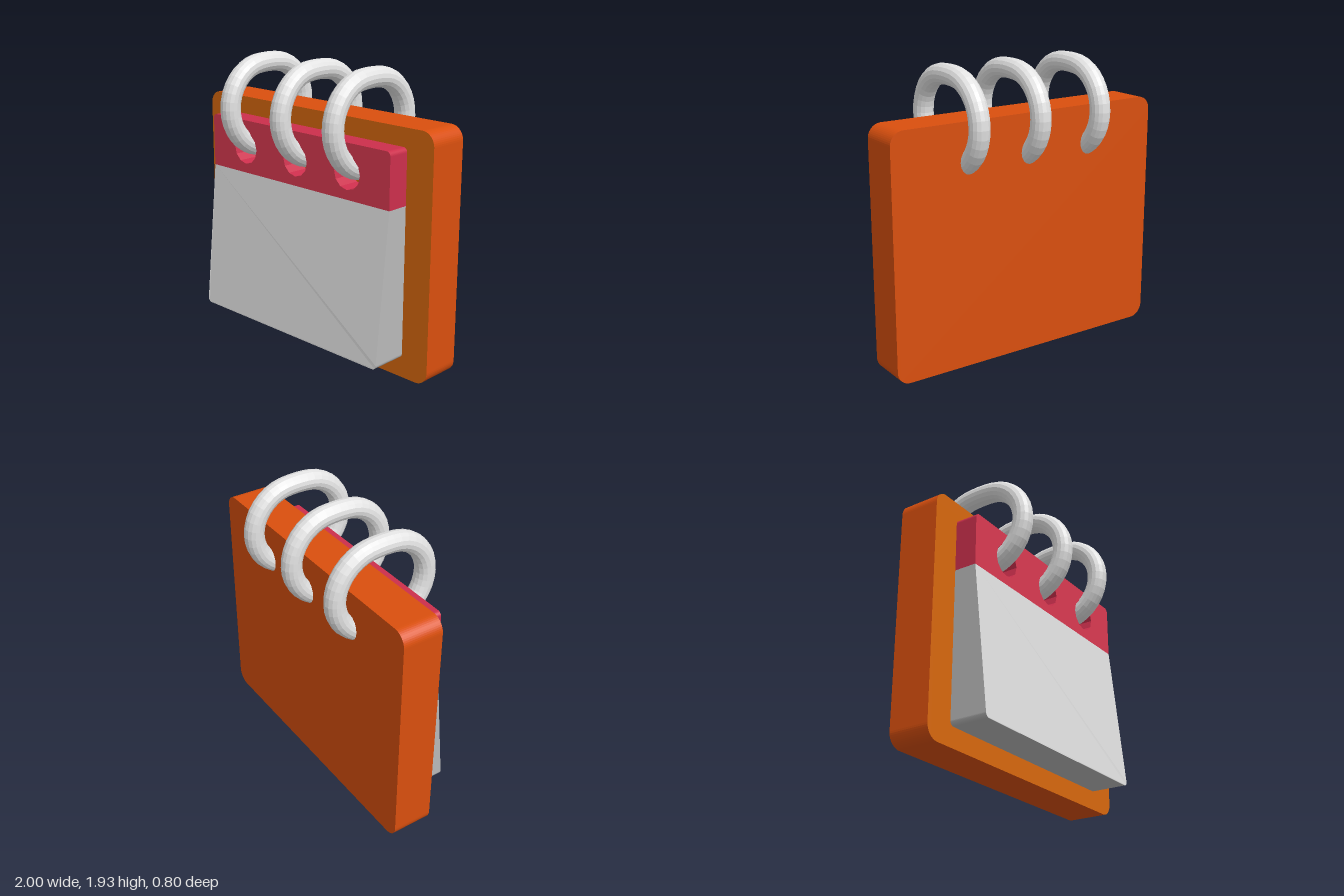
import * as THREE from 'three';

const mat = (name, color) => {
  const m = new THREE.MeshStandardMaterial({ color });
  m.name = name;
  return m;
};

// Rectangle with separate radii for the top and bottom corners
function roundedRect(x, y0, y1, rTop, rBottom) {
  const s = new THREE.Shape();
  const corner = (cx, cy, r, a) => {
    if (r > 0) s.absarc(cx, cy, r, a, a + Math.PI / 2, false);
    else s.lineTo(cx, cy);
  };
  s.moveTo(x - rBottom, y0);
  corner(x - rBottom, y0 + rBottom, rBottom, -Math.PI / 2);
  corner(x - rTop, y1 - rTop, rTop, 0);
  corner(-x + rTop, y1 - rTop, rTop, Math.PI / 2);
  corner(-x + rBottom, y0 + rBottom, rBottom, Math.PI);
  s.closePath();
  return s;
}

// Extruded slab whose front face has its own colour
function slab(name, shape, z0, z1, front, side, frontZ) {
  const g = new THREE.ExtrudeGeometry(shape, { depth: z1 - z0, bevelEnabled: false, curveSegments: 6 });
  g.translate(0, 0, z0);
  if (frontZ) {
    const p = g.attributes.position;
    for (let i = 0; i < p.count; i++) {
      if (p.getZ(i) > z1 - 1e-4) p.setZ(i, frontZ(p.getY(i)));
    }
    g.computeVertexNormals();
  }
  // The lids come first: back half, then front half
  const [lids, walls] = g.groups;
  const half = lids.count / 2;
  g.clearGroups();
  g.addGroup(0, half, 1);
  g.addGroup(half, half, 0);
  g.addGroup(walls.start, walls.count, 1);
  const mesh = new THREE.Mesh(g, [front, side]);
  mesh.name = name;
  return mesh;
}

export function createModel() {
  const model = new THREE.Group();
  model.name = 'ringCalendar';
  const boardFront = mat('amber orange', 0xd9680e);
  const boardSide = mat('deep orange', 0xd94f0e);
  const headFront = mat('light crimson', 0xdc3a52);
  const headSide = mat('crimson', 0xcc2f4c);
  const paper = mat('paper grey', 0xe2e2e2);
  const paperEdge = mat('page edge grey', 0xb8b8b8);
  const metal = mat('ring grey', 0xe2e2e2);
  const ringX = [-0.475, 0, 0.455];
  const holeY = 1.3;

  // Backing board
  model.add(slab('board', roundedRect(1, 0, 1.61, 0.09, 0.09), -0.22, 0.055, boardFront, boardSide));

  // Header strip with punched holes
  const head = roundedRect(0.8, 1.13, 1.49, 0.03, 0);
  for (const x of ringX) {
    const hole = new THREE.Path();
    hole.absarc(x, holeY, 0.108, 0, Math.PI * 2, true);
    head.holes.push(hole);
  }
  model.add(slab('header', head, 0.055, 0.207, headFront, headSide));

  // Page stack, thicker towards the bottom
  const slope = y => 0.207 + 0.098 * Math.min(1, (1.13 - y) / 0.97);
  model.add(slab('pages', roundedRect(0.8, 0.13, 1.13, 0, 0.03), 0.055, 0.305, paper, paperEdge, slope));

  // Binding rings: faceted tubes around a stadium-shaped path
  const points = [];
  const steps = 10, r = 0.281;
  for (const end of [0, 1]) {
    for (let i = 0; i <= steps; i++) {
      const a = -Math.PI / 2 + Math.PI * (end + i / steps);
      points.push(new THREE.Vector3(0, 1.579 + r * Math.sin(a), (end ? -0.05 : 0.05) + r * Math.cos(a)));
    }
  }
  const path = new THREE.CatmullRomCurve3(points, true);
  const ringGeo = new THREE.TubeGeometry(path, 40, 0.067, 16, true).toNonIndexed();
  ringGeo.computeVertexNormals();
  ringX.forEach((x, i) => {
    const ring = new THREE.Mesh(ringGeo, metal);
    ring.name = `ring${i + 1}`;
    ring.position.x = x;
    model.add(ring);
  });
  return model;
}
